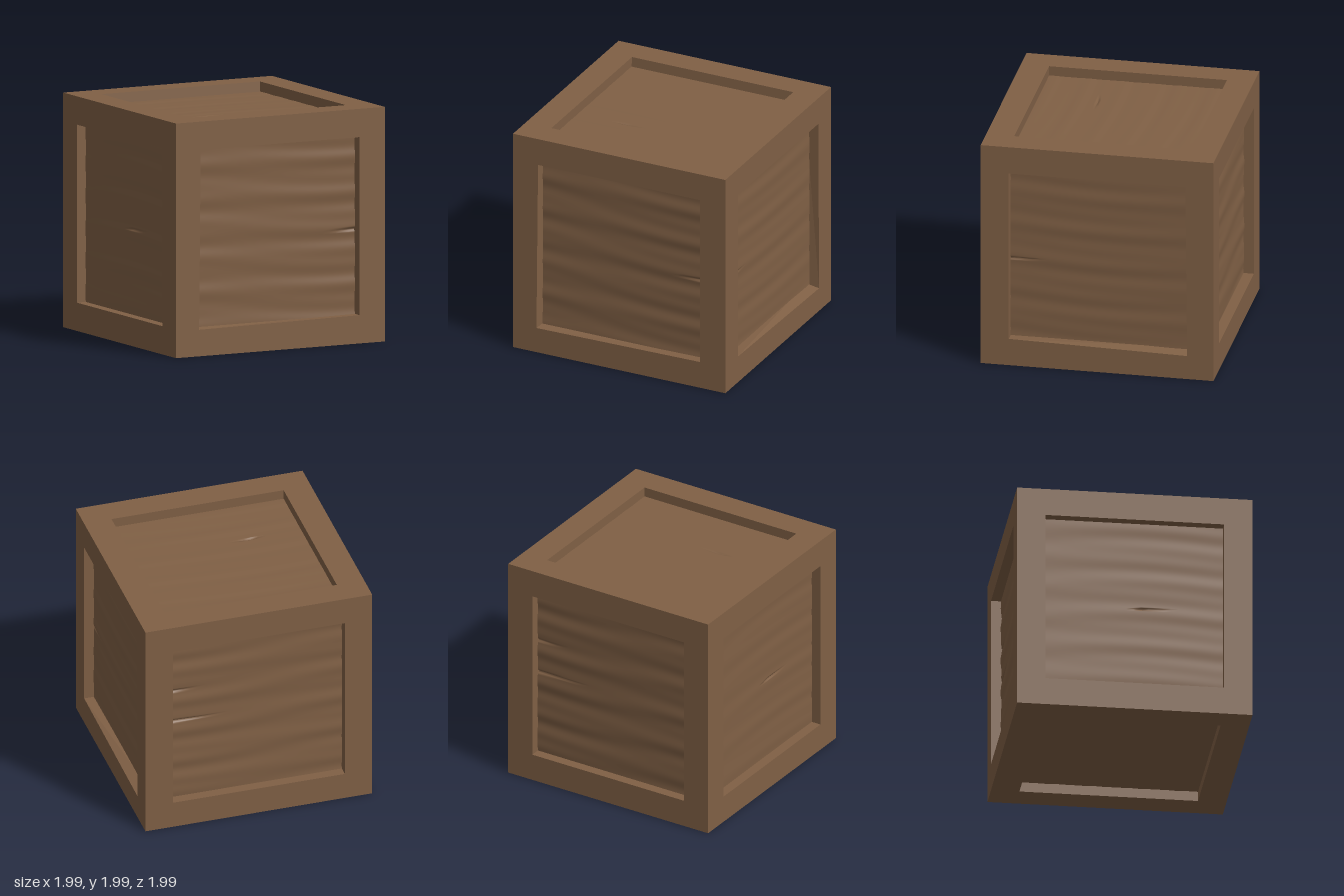
import * as THREE from 'three';

const HALF = 0.995;   // half the crate's side
const DEPTH = 0.085;  // how far the panels sit behind the frame
const INNER = 0.755;  // half width of the panel

// Faces: turn to apply, opening corners (bottom left, bottom right, top right, top left),
// height of the board ripples, ripple phase, cracks [height, tip, mouth, width]
const I = INNER;
const square = [[-I, -I], [I, -I], [I, I], [-I, I]];
const FACES = [
  { name: 'front', turn: [0, 0, 0], opening: [[-0.775, -0.77], [I, -I], [I, I], [-0.76, I]],
    ripple: 0.007, phase: 0.4, cracks: [[-0.035, 0.5, 0.78, 0.02]] },
  { name: 'right', turn: [0, Math.PI / 2, 0], opening: [[-I, -I], [0.77, -0.785], [I, I], [-I, I]],
    ripple: 0.004, phase: 1.7, cracks: [[-0.05, -0.5, -0.78, 0.012]] },
  { name: 'back', turn: [0, Math.PI, 0], opening: square,
    ripple: 0.007, phase: 2.9, cracks: [[0.3, -0.5, -0.78, 0.016], [0.0, -0.3, -0.78, 0.016]] },
  { name: 'left', turn: [0, -Math.PI / 2, 0], opening: square,
    ripple: 0.003, phase: 4.1, cracks: [[-0.03, 0.3, 0.05, 0.01]] },
  { name: 'top', turn: [-Math.PI / 2, 0, 0], opening: [[-I, -I], [I, -I], [I, 0.765], [-I, 0.765]],
    ripple: 0.002, phase: 5.0, cracks: [[-0.25, -0.15, -0.33, 0.014]] },
  { name: 'bottom', turn: [Math.PI / 2, 0, 0], opening: square,
    ripple: 0.002, phase: 0.9, cracks: [] },
];

// Flat square border with a four-cornered opening
function frameGeometry(opening) {
  const shape = new THREE.Shape([[-1, -1], [1, -1], [1, 1], [-1, 1]]
    .map(([x, y]) => new THREE.Vector2(x * HALF, y * HALF)));
  shape.holes.push(new THREE.Path(opening.map(([x, y]) => new THREE.Vector2(x, y)).reverse()));
  return new THREE.ShapeGeometry(shape);
}

// Four walls from the opening down to just behind the panel
function recessGeometry(opening) {
  const points = [];
  opening.forEach((a, i) => {
    const j = (i + 1) % 4;
    const b = opening[j];
    const A = [...a, 0], B = [...b, 0];
    const C = [...square[j], -DEPTH - 0.03], D = [...square[i], -DEPTH - 0.03];
    points.push(...A, ...B, ...C, ...A, ...C, ...D);
  });
  const geometry = new THREE.BufferGeometry();
  geometry.setAttribute('position', new THREE.Float32BufferAttribute(points, 3));
  geometry.computeVertexNormals();
  return geometry;
}

// Wooden panel with soft horizontal grain and tapering cracks
function panelGeometry({ ripple, phase, cracks }) {
  const geometry = new THREE.PlaneGeometry(2 * (I + 0.005), 2 * (I + 0.005), 24, 150);
  const p = geometry.attributes.position;
  for (let i = 0; i < p.count; i++) {
    const x = p.getX(i), y = p.getY(i);
    const bend = y + 0.025 * Math.sin(2.3 * x + phase);
    let z = ripple * (0.5 * Math.sin(bend * 23 + phase) +
      0.35 * Math.sin(bend * 41 + 1.5 * x + phase * 2) * Math.sin(1.4 * x + phase));
    for (const [height, tip, mouth, width] of cracks) {
      const t = (x - tip) / (mouth - tip);
      if (t <= 0 || t > 1) continue;
      const across = Math.abs(y - height) / (width * (0.4 + 0.6 * t));
      z -= 0.025 * t * Math.max(0, 1 - across);
    }
    p.setZ(i, z);
  }
  geometry.computeVertexNormals();
  return geometry;
}

export function createModel() {
  const wood = new THREE.MeshStandardMaterial({ color: 0x806045 });
  wood.name = 'brown wood';

  const crate = new THREE.Group();
  crate.name = 'woodenCrate';

  for (const face of FACES) {
    const side = new THREE.Group();
    side.name = face.name + 'Side';

    const add = (name, geometry, z) => {
      const mesh = new THREE.Mesh(geometry, wood);
      mesh.name = face.name + name;
      mesh.position.z = z;
      side.add(mesh);
    };
    add('Frame', frameGeometry(face.opening), HALF);
    add('RecessWalls', recessGeometry(face.opening), HALF);
    add('Panel', panelGeometry(face), HALF - DEPTH);

    side.rotation.set(...face.turn);
    side.position.y = HALF;
    crate.add(side);
  }
  return crate;
}
